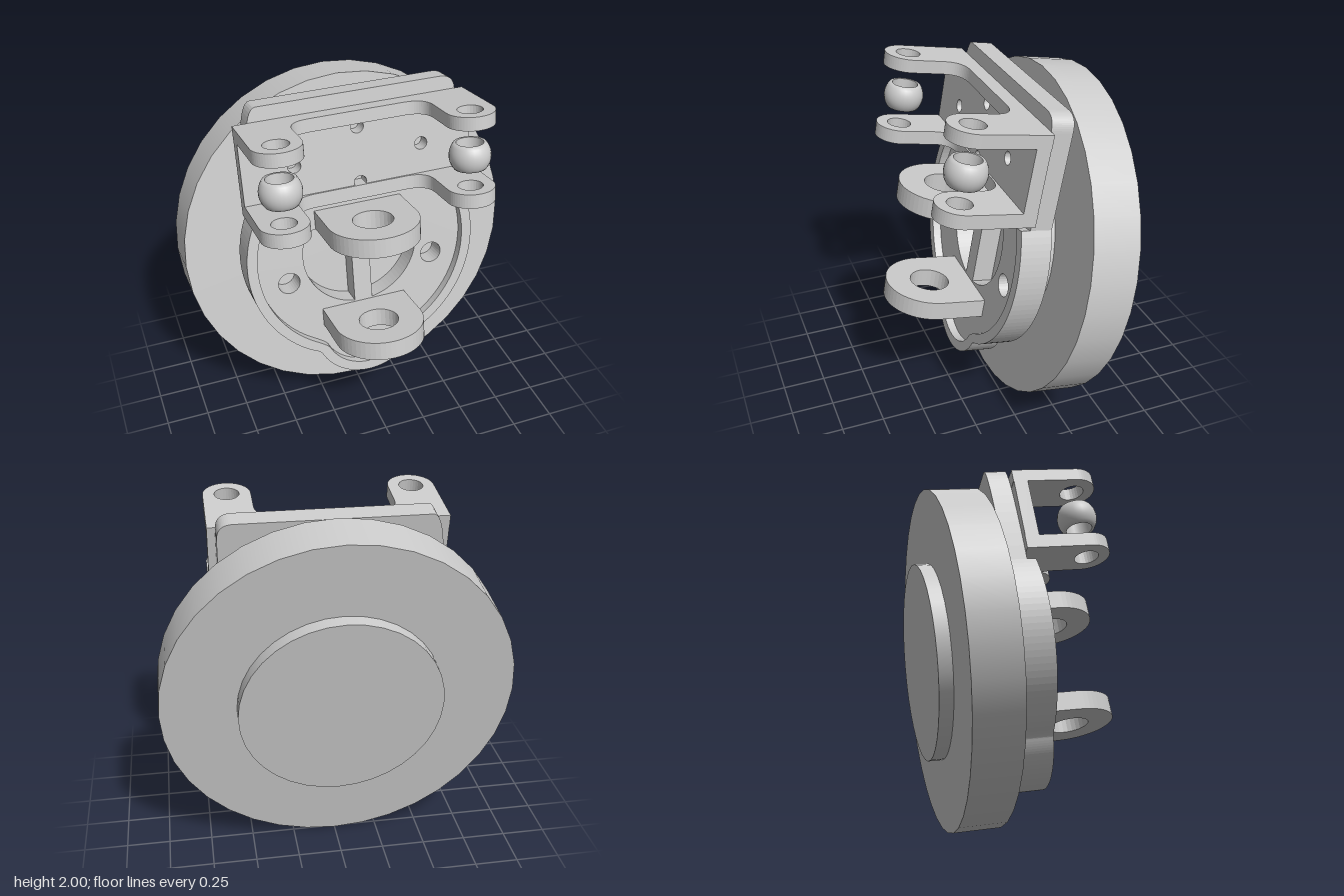
import * as THREE from 'three';

const material = new THREE.MeshStandardMaterial({ color: 0xcccccc, side: THREE.DoubleSide });
const HINGE_X = 0.53;
const DEG = Math.PI / 180;

function addMesh(parent, name, geometry) {
  const mesh = new THREE.Mesh(geometry, material);
  mesh.name = name;
  parent.add(mesh);
  return mesh;
}

// Slab facing the front, between two depths
function frontSlab(shape, z0, z1) {
  return new THREE.ExtrudeGeometry(shape, { depth: z1 - z0, bevelEnabled: false, curveSegments: 14 })
    .translate(0, 0, z0);
}

// Slab lying flat (shape drawn in x and depth), between two heights
function flatSlab(shape, y0, y1) {
  return new THREE.ExtrudeGeometry(shape, { depth: y1 - y0, bevelEnabled: false, curveSegments: 14 })
    .rotateX(Math.PI / 2).translate(0, y1, 0);
}

// Disc with its axis pointing forward
function disc(radius, z0, z1) {
  return new THREE.CylinderGeometry(radius, radius, z1 - z0, 36).toNonIndexed()
    .rotateX(Math.PI / 2).translate(0, 0, (z0 + z1) / 2);
}

function circleHole(x, y, r) {
  const path = new THREE.Path();
  path.absarc(x, y, r, 0, Math.PI * 2, true);
  return path;
}

const mirrored = (points) => points.map((p) => new THREE.Vector2(-p.x, p.y)).reverse();

// Shield outline, inset by d: straight sides, round middle and a small lobe below
function shieldOutline(d, top) {
  const R = 0.69 - d, side = 0.62 - d, lobe = 0.33 - d, lobeY = -0.49;
  const path = new THREE.Path();
  path.moveTo(side, top);
  path.absarc(0, 0, R, Math.acos(side / R), -58 * DEG, true);
  const bx = lobe * Math.cos(25 * DEG), by = lobeY - lobe * Math.sin(25 * DEG);
  path.quadraticCurveTo(bx + 0.009, by + 0.02, bx, by);
  path.absarc(0, lobeY, lobe, -25 * DEG, -90 * DEG, true);
  const half = path.getPoints(14);
  return [...half, ...mirrored(half).slice(1)];
}

// Right half of the round pocket beside the central web
function pocketPoints() {
  const path = new THREE.Path();
  path.moveTo(0.055, 0.11);
  path.lineTo(0.055, -0.345);
  path.absarc(0, 0, 0.35, -81 * DEG, 24 * DEG, false);
  path.quadraticCurveTo(0.3, 0.17, 0.26, 0.17);
  path.lineTo(0.11, 0.17);
  path.quadraticCurveTo(0.055, 0.17, 0.055, 0.11);
  return path.getPoints(12);
}

function bodyShape() {
  const points = shieldOutline(0, 0.85);
  const shape = new THREE.Shape(points);
  // Rounded upper corners
  shape.quadraticCurveTo(-0.62, 0.94, -0.53, 0.94);
  shape.lineTo(0.53, 0.94);
  shape.quadraticCurveTo(0.62, 0.94, 0.62, 0.85);
  const pocket = pocketPoints();
  shape.holes.push(new THREE.Path(pocket), new THREE.Path(mirrored(pocket)));
  for (const [x, y] of [[-0.445, -0.137], [0.445, -0.137], [0, -0.467]]) {
    shape.holes.push(circleHole(x, y, 0.065));
  }
  return shape;
}

// Hinge flange with an ear at each end
function flangeShape() {
  const back = 0.345, front = 0.438, earZ = 0.727, r = 0.135;
  const shape = new THREE.Shape();
  shape.moveTo(-HINGE_X - r, back);
  shape.lineTo(HINGE_X + r, back);
  shape.absarc(HINGE_X, earZ, r, 0, Math.PI, false);
  shape.lineTo(HINGE_X - r, 0.56);
  shape.quadraticCurveTo(HINGE_X - r, front, 0.265, front);
  shape.lineTo(-0.265, front);
  shape.quadraticCurveTo(-HINGE_X + r, front, -HINGE_X + r, 0.56);
  shape.absarc(-HINGE_X, earZ, r, 0, Math.PI, false);
  for (const s of [-1, 1]) shape.holes.push(circleHole(s * HINGE_X, earZ, 0.07));
  return shape;
}

function centreLugShape() {
  const shape = new THREE.Shape();
  shape.moveTo(-0.26, 0.3);
  shape.lineTo(0.26, 0.3);
  shape.absarc(0, 0.6, 0.26, 0, Math.PI, false);
  shape.holes.push(circleHole(0, 0.6, 0.115));
  return shape;
}

// Truncated ball with a bore
function bushingGeometry() {
  const profile = [new THREE.Vector2(0.075, -0.072)];
  for (let i = 0; i <= 10; i++) {
    const y = -0.072 + 0.0144 * i;
    profile.push(new THREE.Vector2(Math.sqrt(0.115 ** 2 - y * y), y));
  }
  profile.push(new THREE.Vector2(0.075, 0.072));
  const bore = [new THREE.Vector2(0.075, 0.072), new THREE.Vector2(0.075, -0.072)];
  return [new THREE.LatheGeometry(profile, 28), new THREE.LatheGeometry(bore, 28)];
}

export function createModel() {
  const model = new THREE.Group();
  model.name = 'hingedDiscAssembly';
  const tilted = new THREE.Group();
  tilted.name = 'tiltedAssembly';
  tilted.position.set(0, 1, -0.3);
  tilted.rotation.x = -10 * DEG;
  model.add(tilted);

  // Stacked discs
  addMesh(tilted, 'mainDisc', disc(0.99, -0.1375, 0.1375));
  addMesh(tilted, 'backDisc', disc(0.57, -0.217, -0.13));
  addMesh(tilted, 'spacerDisc', disc(0.57, 0.13, 0.222));

  // Shield body and its raised rim, open at the top
  addMesh(tilted, 'shieldBody', frontSlab(bodyShape(), 0.22, 0.345));
  const rim = new THREE.Shape([...shieldOutline(0, 0.874), ...shieldOutline(0.06, 0.874).reverse()]);
  addMesh(tilted, 'shieldRim', frontSlab(rim, 0.345, 0.396));

  // Central lugs
  addMesh(tilted, 'upperCentreLug', flatSlab(centreLugShape(), 0.174, 0.284));
  addMesh(tilted, 'lowerCentreLug', flatSlab(centreLugShape(), -0.465, -0.355));

  // Hinge bracket: drilled plate between two eared flanges
  const bracket = new THREE.Group();
  bracket.name = 'hingeBracket';
  tilted.add(bracket);
  const plate = new THREE.Shape();
  plate.moveTo(-0.665, 0.347);
  plate.lineTo(0.665, 0.347);
  plate.lineTo(0.665, 0.858);
  plate.lineTo(-0.665, 0.858);
  for (const [x, y] of [[0, 0.765], [0, 0.442], [-0.37, 0.603], [0.37, 0.603]]) {
    plate.holes.push(circleHole(x, y, 0.037));
  }
  addMesh(bracket, 'bracketPlate', frontSlab(plate, 0.347, 0.428));
  addMesh(bracket, 'upperFlange', flatSlab(flangeShape(), 0.784, 0.859));
  addMesh(bracket, 'lowerFlange', flatSlab(flangeShape(), 0.346, 0.427));

  // Ball bushings between the ears
  for (const [name, s] of [['left', 1], ['right', -1]]) {
    const bushing = new THREE.Group();
    bushing.name = name + 'Bushing';
    bushing.position.set(s * HINGE_X, 0.603, 0.722);
    const [ball, bore] = bushingGeometry();
    addMesh(bushing, name + 'BushingBall', ball);
    addMesh(bushing, name + 'BushingBore', bore);
    tilted.add(bushing);
  }
  return model;
}
